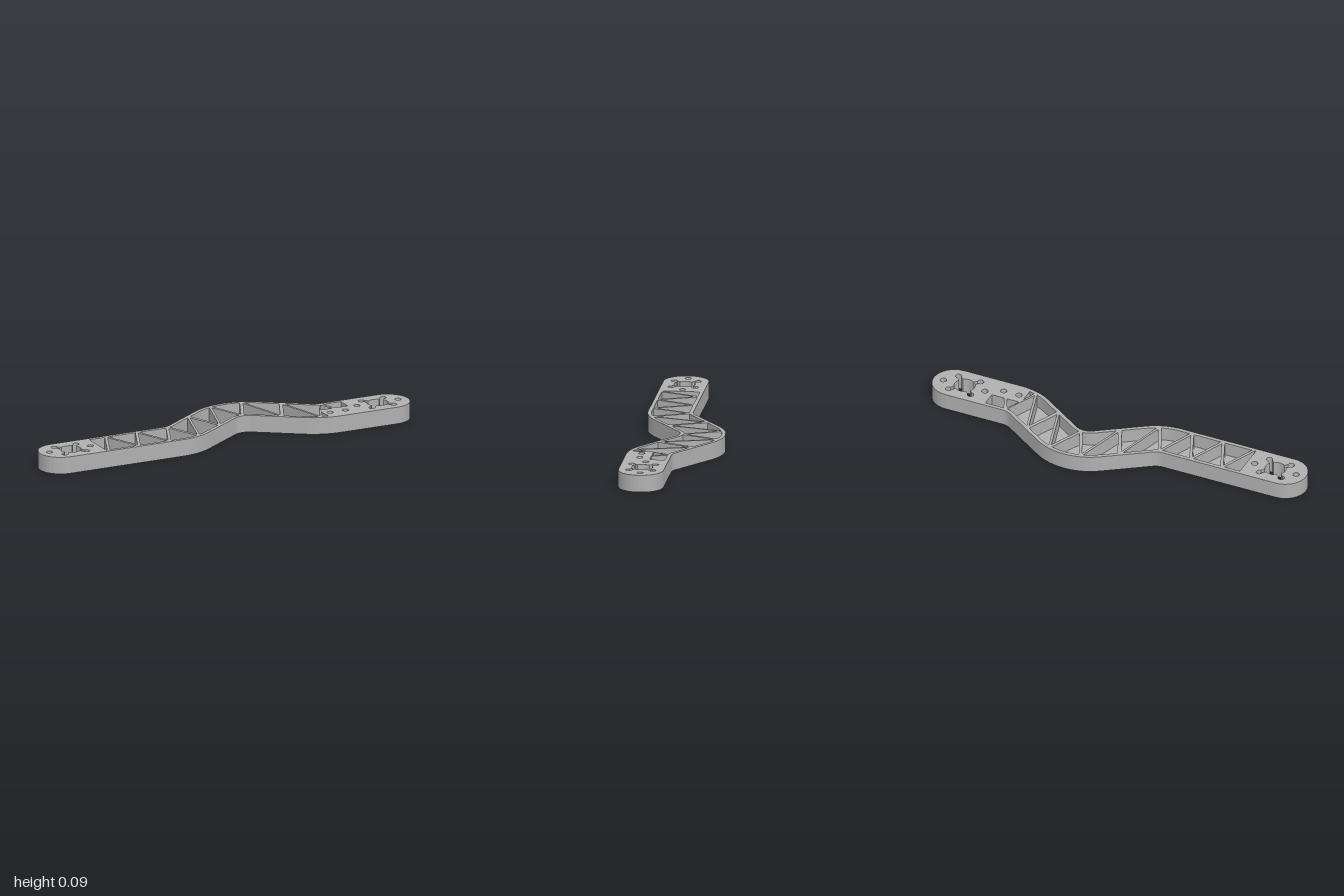
import * as THREE from 'three';
import { mergeGeometries } from 'three/addons/utils/BufferGeometryUtils.js';

const HEIGHT = 0.085, FLOOR = 0.015;
const HALF = 0.111, INNER = 0.092;       // half width of the arm, and of the pocket band
const CZ = 0.1055;                       // centre line: +CZ at the ends, -CZ at the bend
const PEAK = 0.15, W = 0.43;             // middle and half length of the bend
const THETA = 34 * Math.PI / 180;
const R = (W - 2 * CZ / Math.tan(THETA)) / (2 * Math.tan(THETA / 2));
const P = (x, z) => new THREE.Vector2(x, z);

// Bend (arc, line, arc, mirrored) offset by d towards the back
function bend(d) {
  const n = 8, half = [];
  for (let i = 0; i <= n; i++) {
    const a = THETA * i / n;
    half.push(P(PEAK - W + (R - d) * Math.sin(a), CZ - R + (R - d) * Math.cos(a)));
  }
  for (let i = n; i >= 0; i--) {
    const a = THETA * i / n;
    half.push(P(PEAK - (R + d) * Math.sin(a), -CZ + R - (R + d) * Math.cos(a)));
  }
  const mirrored = half.slice(0, -1).reverse().map(p => P(2 * PEAK - p.x, p.y));
  return half.concat(mirrored);
}

function arc(cx, cz, r, a0, a1, n) {
  return Array.from({ length: n + 1 }, (_, i) => {
    const a = a0 + (a1 - a0) * i / n;
    return P(cx + r * Math.cos(a), cz + r * Math.sin(a));
  });
}

// Pocket band edges as z for a given x
const edges = { back: bend(INNER), front: bend(-INNER) };
function zAt(side, x) {
  const e = edges[side];
  if (x <= e[0].x || x >= e[e.length - 1].x) return e[0].y;
  const i = e.findIndex(p => p.x >= x);
  return THREE.MathUtils.mapLinear(x, e[i - 1].x, e[i].x, e[i - 1].y, e[i].y);
}
function edgeRun(side, x0, x1, n = 8) {
  return Array.from({ length: n + 1 }, (_, i) => {
    const x = x0 + (x1 - x0) * i / n;
    return P(x, zAt(side, x));
  });
}

// Triangular pockets between zigzag ribs
function makePockets() {
  const step = 0.1667, gap = 0.011, inset = 0.012;
  const back = k => -0.593 + step * k, front = k => -0.677 + step * k;
  const list = [[P(-0.687, zAt('back', -0.687)), P(back(0) - gap, zAt('back', back(0))),
    P(-0.681, zAt('front', -0.681)), P(-0.687, zAt('front', -0.687))]];
  for (let k = 0; k < 7; k++) {
    list.push([...edgeRun('front', front(k) + gap, front(k + 1) - gap),
      P(back(k), zAt('back', back(k)) + inset)]);
    list.push([...edgeRun('back', back(k) + gap, back(k + 1) - gap),
      P(front(k + 1), zAt('front', front(k + 1)) - inset)]);
  }
  // Cut-off pockets beside the solid pad
  list.push([P(0.497, zAt('front', 0.497)), P(0.525, zAt('front', 0.525)), P(0.525, 0.115)]);
  list.push([P(0.567, 0.022), P(0.6, 0.089), P(0.534, 0.089)]);
  list.push([P(0.583, 0.0135), P(0.681, 0.0135), P(0.681, 0.089), P(0.615, 0.089)]);
  return list;
}

// Round opening with four diagonal keyhole slots
function motorHole(cx) {
  const r = 0.052, slot = 0.01, lobe = 0.016, reach = 0.083, pts = [];
  const b = Math.asin(slot / r), c = Math.PI - Math.asin(slot / lobe);
  for (let k = 0; k < 4; k++) {
    const a = Math.PI / 4 + k * Math.PI / 2;
    pts.push(...arc(cx + reach * Math.cos(a), CZ + reach * Math.sin(a), lobe, a - c, a + c, 12));
    pts.push(...arc(cx, CZ, r, a + b, a + Math.PI / 2 - b, 8));
  }
  return pts;
}

// Horizontal face; dir is +1 facing up, -1 facing down
function face(loop, holes, y, dir) {
  const flip = pts => pts.map(p => P(p.x, -dir * p.y));
  const shape = new THREE.Shape(flip(loop));
  shape.holes = holes.map(h => new THREE.Path(flip(h)));
  return new THREE.ShapeGeometry(shape).rotateX(-dir * Math.PI / 2).translate(0, y, 0);
}

// Vertical wall along a closed loop, facing outwards or into the opening
function wall(loop, y0, y1, outward) {
  const ccw = THREE.ShapeUtils.area(loop) > 0;
  const pts = ccw === outward ? loop.slice().reverse() : loop;
  const pos = [];
  pts.forEach((a, i) => {
    const b = pts[(i + 1) % pts.length];
    pos.push(a.x, y0, a.y, b.x, y0, b.y, b.x, y1, b.y);
    pos.push(a.x, y0, a.y, b.x, y1, b.y, a.x, y1, a.y);
  });
  const g = new THREE.BufferGeometry();
  g.setAttribute('position', new THREE.Float32BufferAttribute(pos, 3));
  g.computeVertexNormals();
  return g;
}

export function createModel() {
  const group = new THREE.Group();
  group.name = 'trussArm';
  const grey = new THREE.MeshStandardMaterial({ color: 0xb0b0b0 });
  grey.name = 'grey plastic';
  const add = (name, geometry) => {
    const mesh = new THREE.Mesh(geometry, grey);
    mesh.name = name;
    group.add(mesh);
  };

  // Outline with rounded ends
  const endX = 1 - HALF, q = Math.PI / 2;
  const outline = [
    ...bend(HALF),
    ...arc(endX, CZ, HALF, -q, q, 16),
    ...bend(-HALF).reverse(),
    ...arc(-endX, CZ, HALF, q, 3 * q, 16),
  ];

  // Through holes
  const screw = (x, z) => arc(x, z, 0.016, 0, 2 * Math.PI, 20).slice(0, -1);
  const holes = [motorHole(-0.835), motorHole(0.835),
    ...[-0.948, -0.725, 0.725, 0.948].map(x => screw(x, CZ - 0.003)),
    screw(0.56, 0.142), screw(0.642, 0.142)];
  const pockets = makePockets();

  add('topFace', face(outline, [...holes, ...pockets], HEIGHT, 1));
  add('bottomFace', face(outline, holes, 0, -1));
  add('outerWall', wall(outline, 0, HEIGHT, true));
  add('mountingHoles', mergeGeometries(holes.map(h => wall(h, 0, HEIGHT, false))));
  add('pocketWalls', mergeGeometries(pockets.map(p => wall(p, FLOOR, HEIGHT, false))));
  add('pocketFloors', mergeGeometries(pockets.map(p => face(p, [], FLOOR, 1))));
  return group;
}
